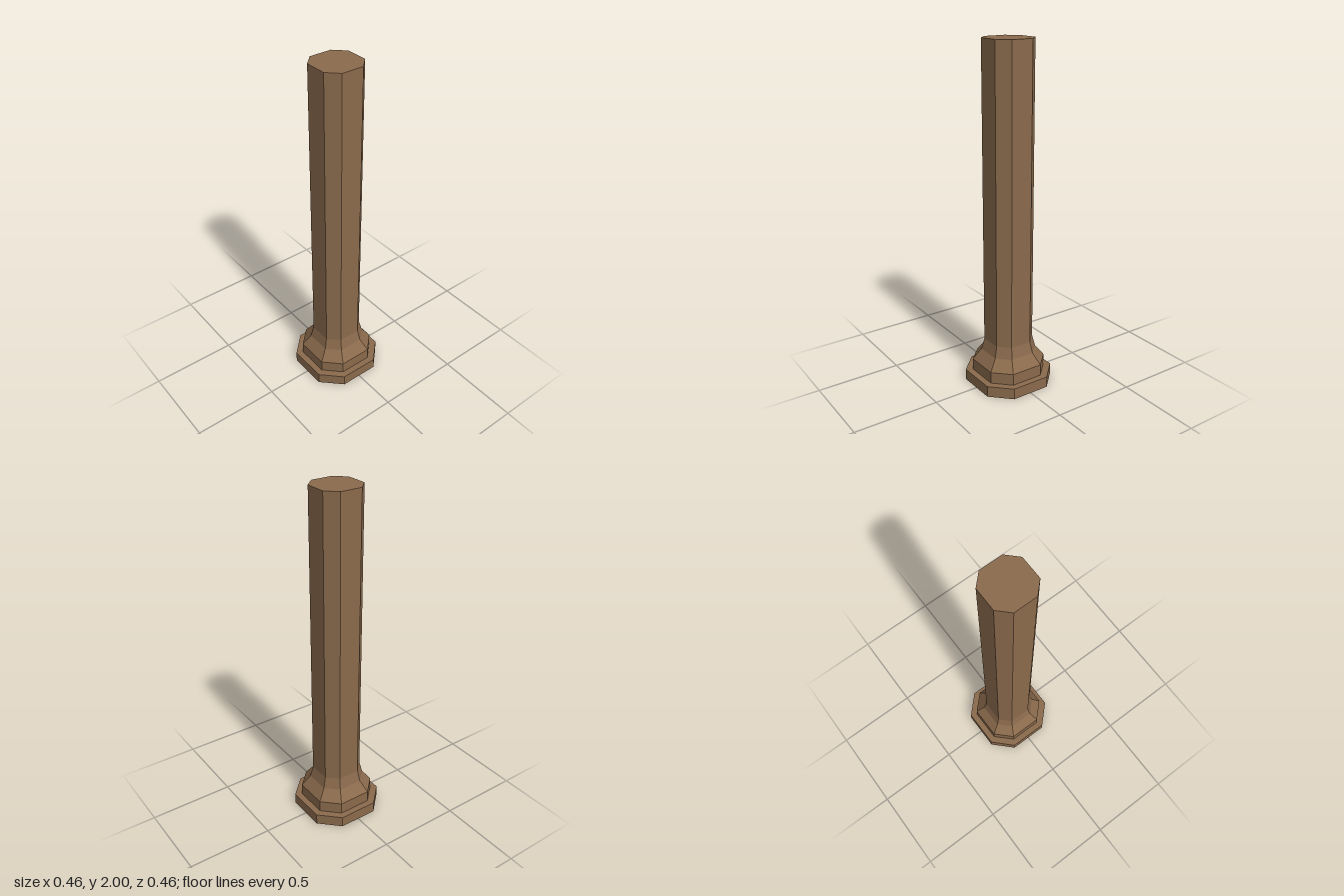
import * as THREE from 'three';

const wood = new THREE.MeshStandardMaterial({ color: 0x8a6a4c });
wood.name = 'brown wood';

// Half-length of the four axis-facing sides relative to the half-width.
const SIDE = 0.512;

// Eight-sided tapered section; corners are moved so the diagonal sides are slightly narrower.
function section(name, bottom, top, y0, y1, open = false) {
  const cyl = new THREE.CylinderGeometry(top, bottom, y1 - y0, 8, 1, open, Math.PI / 8);
  const geo = cyl.toNonIndexed();
  const p = geo.attributes.position;
  for (let i = 0; i < p.count; i++) {
    const x = p.getX(i), z = p.getZ(i), r = Math.hypot(x, z);
    const wide = Math.abs(x) > Math.abs(z);
    p.setX(i, Math.sign(x) * r * (wide ? 1 : SIDE));
    p.setZ(i, Math.sign(z) * r * (wide ? SIDE : 1));
  }
  geo.translate(0, (y0 + y1) / 2, 0);
  geo.computeVertexNormals();
  const mesh = new THREE.Mesh(geo, wood);
  mesh.name = name;
  return mesh;
}

export function createModel() {
  const column = new THREE.Group();
  column.name = 'column';
  column.add(
    section('plinth', 0.228, 0.228, 0, 0.066),
    section('baseBlock', 0.19, 0.19, 0.066, 0.135),
    // Two-step flare from the base into the shaft
    section('lowerFlare', 0.19, 0.143, 0.135, 0.2, true),
    section('upperFlare', 0.143, 0.127, 0.2, 0.268, true),
    section('shaft', 0.127, 0.127, 0.268, 2)
  );
  return column;
}
